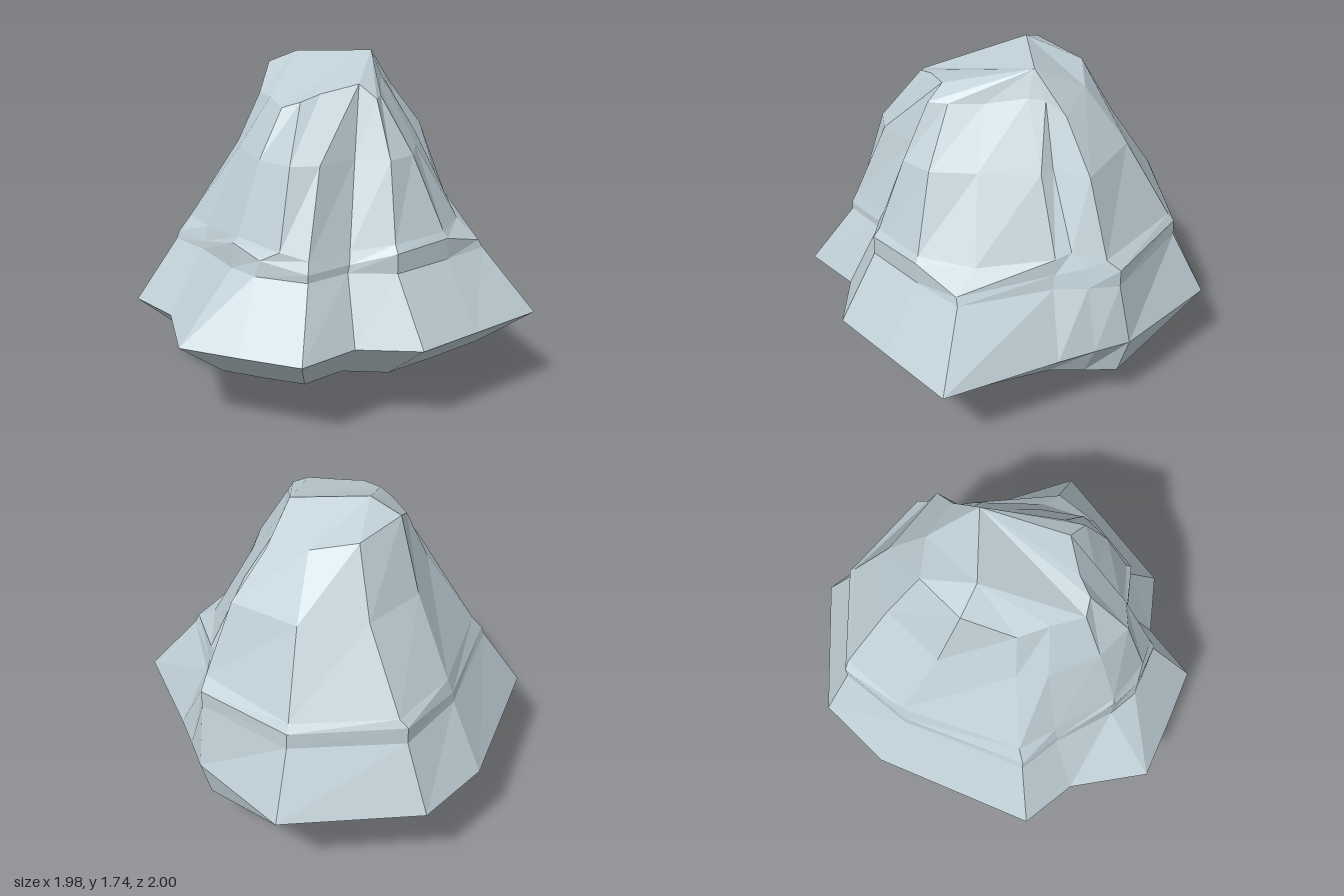
import * as THREE from 'three';

// Horizontal cross-sections, clockwise from the back-left corner.
// Each point is [x, z] at the section height, or [x, z, y].
const COUNT = 15;
const underside = [[-0.38, -0.82], [0.04, -0.94], [0.17, -0.83], [0.3, -0.71], [0.73, -0.53], [0.73, -0.2], [0.72, 0.09], [0.56, 0.26],
  [0.56, 0.5], [0.38, 0.61], [0.18, 0.72], [-0.11, 0.58], [-0.33, 0.58], [-0.65, 0.04], [-0.69, -0.27]];
const rim = [[-0.575, -0.97], [0.03, -1], [0.21, -0.935], [0.4, -0.87], [0.985, -0.69], [0.985, -0.25], [0.985, 0.11], [0.76, 0.35],
  [0.765, 0.68], [0.49, 0.84], [0.21, 0.995], [-0.17, 0.8], [-0.48, 0.81], [-0.92, 0.06], [-0.99, -0.37]];
const shoulder = [[-0.48, -0.82], [0.06, -0.94], [0.19, -0.85], [0.32, -0.74], [0.75, -0.53], [0.77, -0.25], [0.77, 0.09], [0.61, 0.27],
  [0.6, 0.51], [0.36, 0.65], [0.19, 0.66], [-0.14, 0.61], [-0.37, 0.62], [-0.72, 0.05], [-0.82, -0.35]];
const lip = [[-0.48, -0.815, 0.86], [0.06, -0.94, 0.87], [0.17, -0.83, 0.88], [0.3, -0.73, 0.85], [0.74, -0.51, 0.82], [0.77, -0.25, 0.89],
  [0.77, 0.09, 0.88], [0.61, 0.26, 0.82], [0.6, 0.51, 0.82], [0.38, 0.63, 0.86], [0.2, 0.655, 0.91], [-0.13, 0.605, 0.82],
  [-0.36, 0.61, 0.82], [-0.72, 0.04, 0.84], [-0.82, -0.35, 0.87]];
const ledge = [[-0.46, -0.79, 0.9], [0.1, -0.88, 0.92], [0.21, -0.75, 0.95], [0.29, -0.72, 0.93], [0.6, -0.49, 0.91], [0.75, -0.24, 0.92],
  [0.74, 0.08, 0.92], [0.59, 0.24, 0.88], [0.58, 0.49, 0.88], [0.46, 0.57, 0.91], [0.21, 0.635, 0.94], [-0.13, 0.58, 0.9],
  [-0.34, 0.55, 0.9], [-0.7, 0.02, 0.92], [-0.78, -0.37, 0.91]];
const waist = [[-0.31, -0.61], [0.07, -0.72], [0.14, -0.54], [0.22, -0.54], [0.44, -0.33], [0.6, -0.16], [0.62, 0.01], [0.47, 0.11],
  [0.48, 0.34], [0.4, 0.46], [0.2, 0.49], [-0.07, 0.42], [-0.2, 0.33], [-0.46, 0.03], [-0.51, -0.33]];
const crown = [[-0.18, -0.43, 1.59], [0.04, -0.52, 1.54], [0.08, -0.42, 1.6], [0.14, -0.36, 1.61], [0.29, -0.22, 1.58], [0.42, -0.1, 1.58],
  [0.48, -0.02, 1.58], [0.37, 0, 1.64], [0.29, 0.18, 1.6], [0.27, 0.29, 1.57], [0.2, 0.35, 1.54], [0.03, 0.29, 1.56],
  [-0.13, 0.24, 1.55], [-0.31, 0.04, 1.67], [-0.34, -0.25, 1.63]];

const place = (section, y) => section.map(([x, z, h = y]) => [x, h, z]);

// Skins successive sections with triangles, dropping any that collapse at a tip.
function skin(name, sections, material) {
  const positions = [];
  const triangle = (a, b, c) => {
    const same = (p, q) => p.every((v, k) => v === q[k]);
    if (!same(a, b) && !same(b, c) && !same(a, c)) positions.push(...a, ...b, ...c);
  };
  for (let s = 0; s < sections.length - 1; s++) {
    const low = sections[s], high = sections[s + 1];
    for (let i = 0; i < COUNT; i++) {
      const j = (i + 1) % COUNT;
      triangle(low[j], low[i], high[i]);
      triangle(low[j], high[i], high[j]);
    }
  }
  const geometry = new THREE.BufferGeometry();
  geometry.setAttribute('position', new THREE.Float32BufferAttribute(positions, 3));
  geometry.computeVertexNormals();
  const mesh = new THREE.Mesh(geometry, material);
  mesh.name = name;
  return mesh;
}

export function createModel() {
  const stone = new THREE.MeshStandardMaterial({ color: 0xbfcfd6, flatShading: true });
  stone.name = 'blue grey stone';

  // The underside meets at one point; the summit is a short ridge.
  const foot = Array.from({ length: COUNT }, () => [0.06, 0, -0.08]);
  const summit = Array.from({ length: COUNT }, (_, i) => (i < 10 ? [0.08, 1.74, -0.34] : [-0.16, 1.74, -0.03]));
  const shoulderRing = place(shoulder, 0.78);

  const rock = new THREE.Group();
  rock.name = 'rock';
  rock.add(
    skin('rockBase', [foot, place(underside, 0.24), place(rim, 0.45), shoulderRing], stone),
    skin('rockDome', [shoulderRing, place(lip), place(ledge), place(waist, 1.3), place(crown), summit], stone)
  );
  return rock;
}
